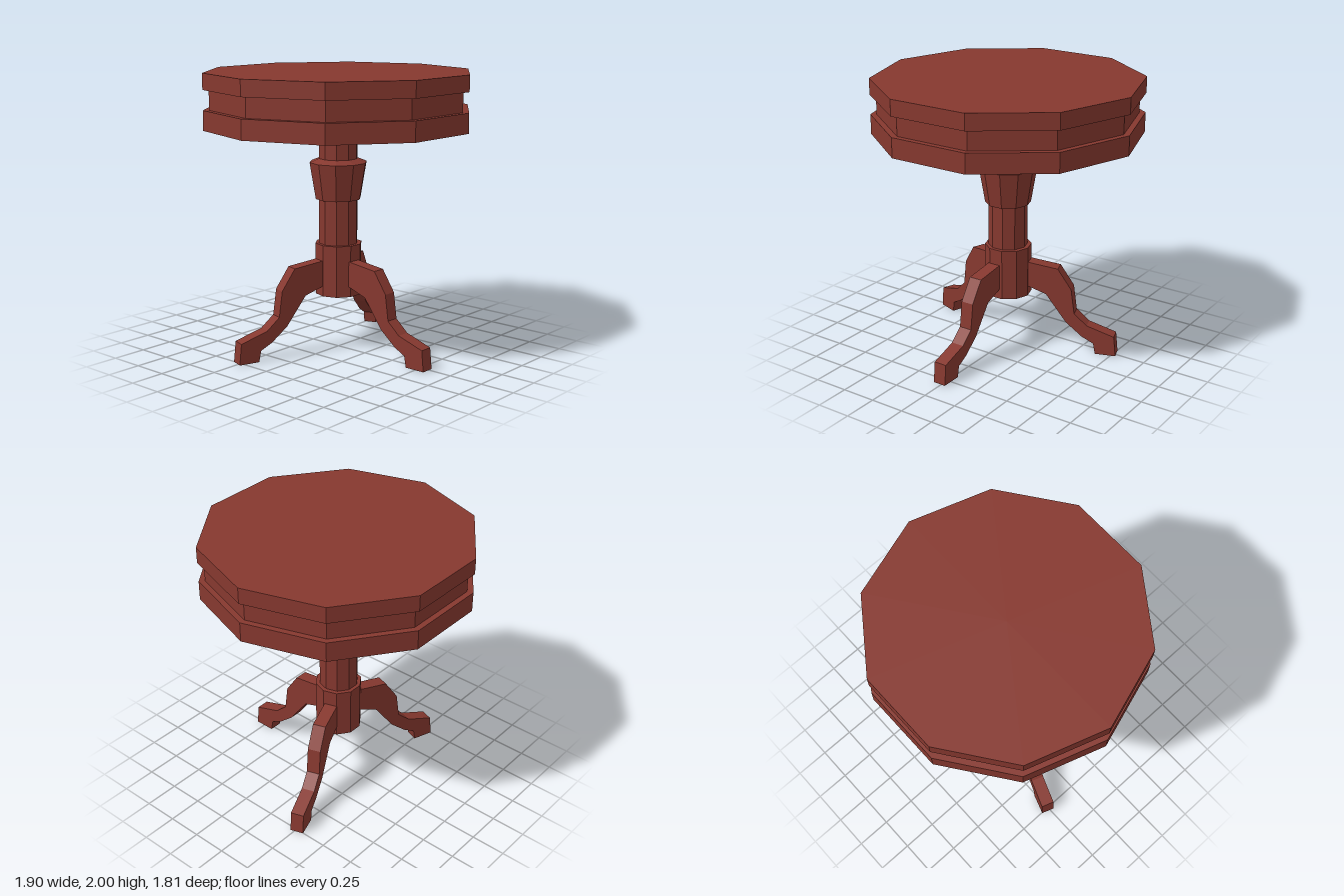
import * as THREE from 'three';

export function createModel() {
  const table = new THREE.Group();
  table.name = 'pedestalTable';
  const wood = new THREE.MeshStandardMaterial({ color: 0x86382f });
  wood.name = 'mahogany';

  const add = (name, geometry) => {
    // Separate face normals give crisp low-poly facets
    const g = geometry.index ? geometry.toNonIndexed() : geometry;
    g.computeVertexNormals();
    const mesh = new THREE.Mesh(g, wood);
    mesh.name = name;
    table.add(mesh);
    return mesh;
  };

  // Ten-sided turned section with a corner on the x axis
  const turned = (name, y0, y1, r0, r1 = r0, x = 0) => {
    const g = new THREE.CylinderGeometry(r1, r0, y1 - y0, 10, 1, false, Math.PI / 2);
    g.translate(x, (y0 + y1) / 2, 0);
    return add(name, g);
  };

  // Table top: two rims with a recessed band between
  turned('topSlab', 1.885, 2, 0.951);
  turned('recessedBand', 1.745, 1.885, 0.908);
  turned('lowerSlab', 1.605, 1.745, 0.951);

  // Pedestal
  turned('column', 0.7, 1.605, 0.14, 0.14, -0.003);
  turned('columnVase', 1.098, 1.36, 0.163, 0.207, -0.003);
  turned('vaseShoulder', 1.36, 1.387, 0.207, 0.14, -0.003);
  turned('legHub', 0.408, 0.778, 0.168);

  // Curved leg: outward profile, extruded to its thickness
  const profile = [
    [0.1, 0.672], [0.16, 0.665], [0.385, 0.635], [0.485, 0.485], [0.51, 0.3],
    [0.605, 0.215], [0.805, 0.15], [0.82, 0], [0.67, 0], [0.655, 0.08],
    [0.57, 0.125], [0.45, 0.225], [0.3, 0.43], [0.16, 0.48], [0.1, 0.497],
  ].map(([r, y]) => new THREE.Vector2(r, y));
  const thickness = 0.095;
  const legGeometry = new THREE.ExtrudeGeometry(new THREE.Shape(profile), {
    depth: thickness, bevelEnabled: false,
  });
  legGeometry.translate(0, 0, -thickness / 2);

  const splay = THREE.MathUtils.degToRad(19);
  const legs = [
    ['frontLeg', -Math.PI / 2, -0.016],
    ['backLeftLeg', splay, -0.008],
    ['backRightLeg', Math.PI - splay, 0.006],
  ];
  for (const [name, angle, x] of legs) {
    const leg = add(name, legGeometry.clone());
    leg.rotation.y = angle;
    leg.position.x = x;
  }

  return table;
}
